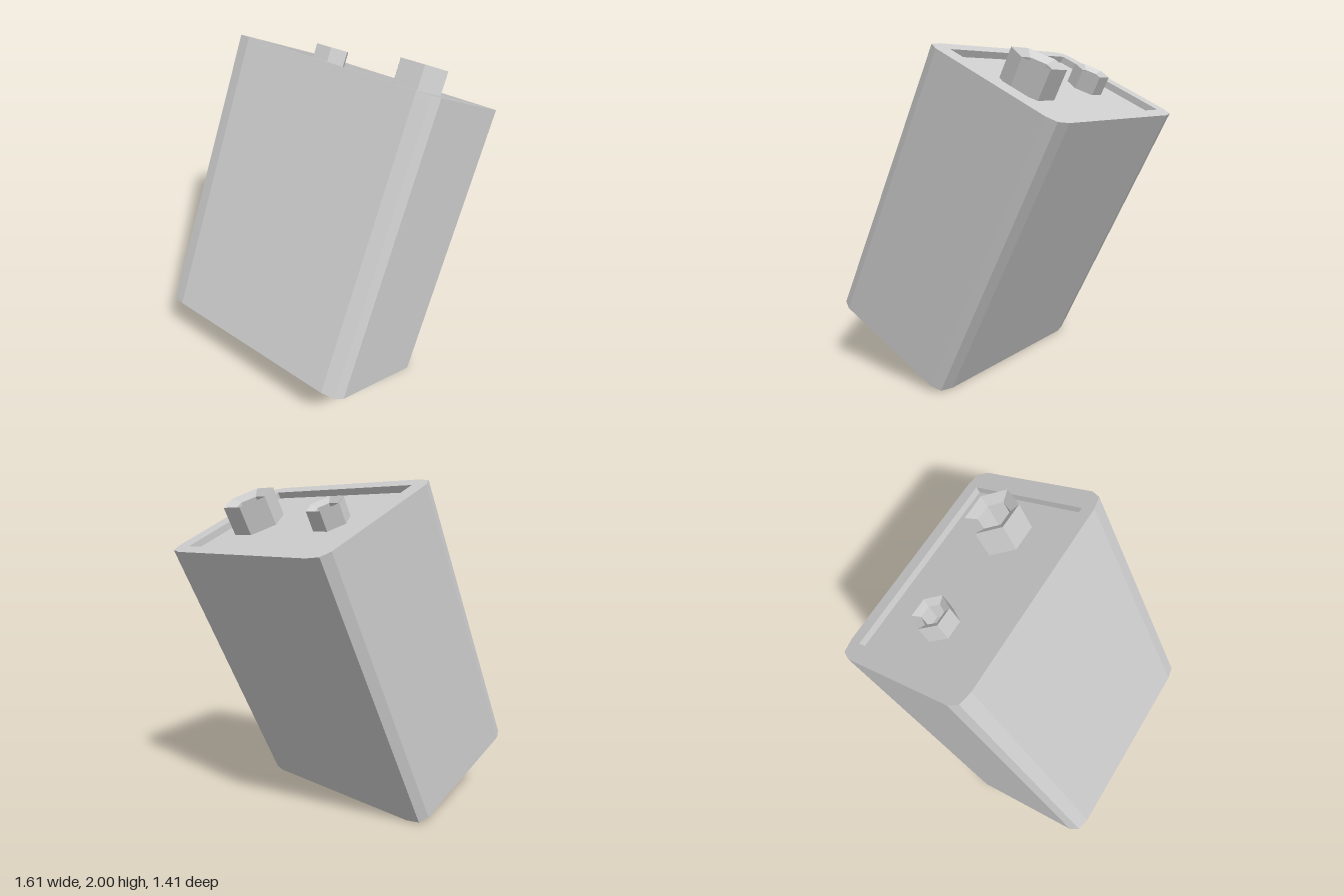
import * as THREE from 'three';

const material = new THREE.MeshStandardMaterial({ color: 0xcccccc, flatShading: true });

const W = 0.465, D = 0.703, H = 1.77; // half width, half depth, height
const RECESS = 0.042;                 // depth of the sunken top

// Rectangle whose corners are cut by two unequal bevels
function bodyShape() {
  const corner = [[0, 0.11], [0.018, 0.028], [0.078, 0]];
  const points = [];
  for (const [sx, sy] of [[1, 1], [-1, 1], [-1, -1], [1, -1]]) {
    const cut = corner.map(([a, b]) => new THREE.Vector2(sx * (W - a), sy * (D - b)));
    points.push(...(sx * sy > 0 ? cut : cut.reverse()));
  }
  return new THREE.Shape(points);
}

// Extrude a plan outline upward from y0 to y1
function slab(name, shape, y0, y1) {
  const geometry = new THREE.ExtrudeGeometry(shape, { depth: y1 - y0, bevelEnabled: false });
  geometry.rotateX(-Math.PI / 2).translate(0, y0, 0);
  const mesh = new THREE.Mesh(geometry, material);
  mesh.name = name;
  return mesh;
}

// Six-sided hollow stud with a funnel-shaped rim
function terminal(name, radius, inner, height, drop, x, z) {
  const profile = [[radius, 0], [radius, height], [inner, height - drop], [inner, 0]]
    .map(([r, y]) => new THREE.Vector2(r, y));
  const geometry = new THREE.LatheGeometry(profile, 6).toNonIndexed();
  geometry.computeVertexNormals();
  const mesh = new THREE.Mesh(geometry, material);
  mesh.name = name;
  mesh.position.set(x, H / 2 - RECESS, z);
  return mesh;
}

export function createModel() {
  const battery = new THREE.Group();
  battery.name = 'battery';

  // Casing up to the recessed floor
  battery.add(slab('casing', bodyShape(), -H / 2, H / 2 - RECESS));

  // Raised rim around the recess
  const rim = bodyShape();
  rim.holes.push(new THREE.Path([[-0.39, -0.582], [-0.39, 0.598], [0.39, 0.598], [0.39, -0.582]]
    .map(([x, y]) => new THREE.Vector2(x, y))));
  battery.add(slab('topRim', rim, H / 2 - RECESS, H / 2));

  // Terminals
  battery.add(terminal('largeTerminal', 0.163, 0.098, 0.139 + RECESS, 0.032, 0.01, 0.34));
  battery.add(terminal('smallTerminal', 0.113, 0.069, 0.078 + RECESS, 0.024, 0, -0.31));

  // Lean the whole battery onto its lower edge
  battery.rotation.z = -THREE.MathUtils.degToRad(26.15);
  battery.position.y = 1;

  const model = new THREE.Group();
  model.name = 'leaningBattery';
  model.add(battery);
  return model;
}
